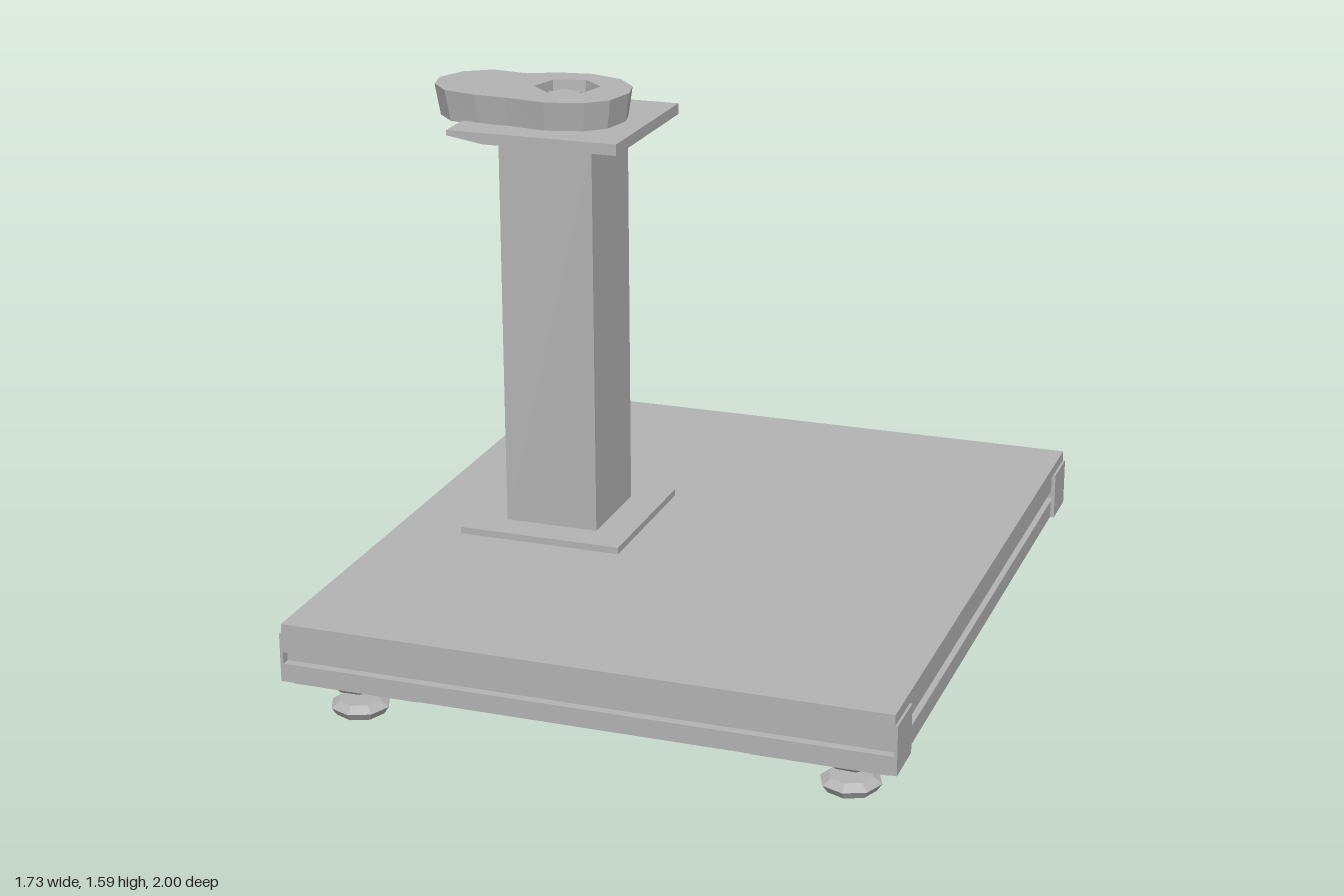
import * as THREE from 'three';

const grey = new THREE.MeshStandardMaterial({ color: 0xb3b3b3 });
grey.name = 'machine grey';

function add(parent, name, geometry, x = 0, y = 0, z = 0) {
  const mesh = new THREE.Mesh(geometry, grey);
  mesh.name = name;
  mesh.position.set(x, y, z);
  parent.add(mesh);
  return mesh;
}

// Box given by its lower and upper limits
function box(parent, name, [x0, x1], [y0, y1], [z0, z1]) {
  return add(parent, name, new THREE.BoxGeometry(x1 - x0, y1 - y0, z1 - z0),
    (x0 + x1) / 2, (y0 + y1) / 2, (z0 + z1) / 2);
}

const shapeOf = pts => new THREE.Shape(pts.map(p => new THREE.Vector2(...p)));

// Outline in plan (x, -z) raised from y0 to y1
function slab(pts, y0, y1, holes = []) {
  const shape = shapeOf(pts);
  shape.holes = holes.map(h => new THREE.Path(h.map(p => new THREE.Vector2(...p))));
  return new THREE.ExtrudeGeometry(shape, { depth: y1 - y0, bevelEnabled: false })
    .rotateX(-Math.PI / 2).translate(0, y0, 0);
}

function ring(n, r, cx, cy, turn = 0) {
  return Array.from({ length: n }, (_, i) => {
    const a = turn + (i / n) * Math.PI * 2;
    return [cx + r * Math.cos(a), cy + r * Math.sin(a)];
  });
}

// Square profile bar with one groove along each face, running along z
function slottedBar(length) {
  const h = 0.07, s = 0.017, d = 0.045;
  const side = [[-h, -h], [-s, -h], [-s, -d], [s, -d], [s, -h]];
  const pts = [];
  for (let k = 0; k < 4; k++) {
    const c = Math.round(Math.cos(k * Math.PI / 2)), n = Math.round(Math.sin(k * Math.PI / 2));
    side.forEach(([x, y]) => pts.push([x * c - y * n, x * n + y * c]));
  }
  return new THREE.ExtrudeGeometry(shapeOf(pts), { depth: length, bevelEnabled: false })
    .translate(0, 0, -length / 2);
}

// Faceted round piece
function faceted(rTop, rBottom, height, sides) {
  const g = new THREE.CylinderGeometry(rTop, rBottom, height, sides).toNonIndexed();
  g.computeVertexNormals();
  return g;
}

export function createModel() {
  const model = new THREE.Group();
  model.name = 'pedestal';

  // Base frame: two cross bars with closed ends, three long bars between them
  const frame = new THREE.Group();
  frame.name = 'baseFrame';
  model.add(frame);
  box(frame, 'deckPlate', [-0.86, 0.86], [0.27, 0.3], [-1, 1]);
  for (const s of [-1, 1]) {
    add(frame, 'crossBar', slottedBar(1.72), 0, 0.2, s * 0.93).rotation.y = Math.PI / 2;
    add(frame, 'sideBar', slottedBar(1.72), s * 0.785, 0.2, 0);
    for (const e of [-1, 1]) {
      box(frame, 'endCap', [e * 0.8625 - 0.0045, e * 0.8625 + 0.0045],
        [0.13, 0.27], [s * 0.93 - 0.07, s * 0.93 + 0.07]);
    }
  }
  add(frame, 'middleBar', slottedBar(1.72), -0.12, 0.2, 0);

  // Corner gussets and levelling feet
  for (const sx of [-1, 1]) {
    for (const sz of [-1, 1]) {
      const corner = new THREE.Group();
      corner.name = 'cornerFoot';
      const gusset = [[0.84, 0.98], [0.47, 0.98], [0.84, 0.6]].map(([x, z]) => [x * sx, -z * sz]);
      add(corner, 'gusset', slab(gusset, 0.118, 0.13));
      const mount = add(corner, 'footMount', faceted(0.11, 0.065, 0.045, 7), sx * 0.71, 0.098, sz * 0.85);
      mount.rotation.y = sx * 0.4;
      add(corner, 'footPadTop', faceted(0.06, 0.085, 0.017, 8), sx * 0.705, 0.031, sz * 0.85);
      add(corner, 'footPad', faceted(0.085, 0.07, 0.022, 8), sx * 0.705, 0.0115, sz * 0.85);
      frame.add(corner);
    }
  }

  // Column with its foot plate and top plate
  box(model, 'columnFootPlate', [-0.66, -0.17], [0.3, 0.32], [-0.245, 0.245]);
  box(model, 'column', [-0.555, -0.275], [0.32, 1.48], [-0.145, 0.145]);
  const topPlate = shapeOf([[-0.665, 1.497], [-0.555, 1.48], [-0.16, 1.48], [-0.16, 1.512], [-0.665, 1.512]]);
  add(model, 'columnTopPlate',
    new THREE.ExtrudeGeometry(topPlate, { depth: 0.51, bevelEnabled: false }), 0, 0, -0.255);

  // Mounting head: round flange with an offset lobe and a stepped socket
  const head = new THREE.Group();
  head.name = 'mountingHead';
  model.add(head);
  const outline = [[-0.215, 0], [-0.235, -0.1], [-0.29, -0.155], [-0.4, -0.185], [-0.52, -0.165],
    [-0.62, -0.16], [-0.72, -0.135], [-0.78, -0.07], [-0.8, 0.01], [-0.765, 0.1], [-0.69, 0.15],
    [-0.58, 0.135], [-0.5, 0.175], [-0.4, 0.19], [-0.3, 0.155], [-0.235, 0.08]].reverse();
  const socket = ring(6, 0.095, -0.41, 0.02, 0.3);
  const body = slab(outline, 1.505, 1.595, [socket]);
  // Draw the lower rim slightly inward
  const p = body.attributes.position;
  for (let i = 0; i < p.count; i++) {
    if (p.getY(i) < 1.55) {
      p.setX(i, -0.48 + (p.getX(i) + 0.48) * 0.95);
      p.setZ(i, p.getZ(i) * 0.93);
    }
  }
  body.computeVertexNormals();
  add(head, 'headBody', body);
  add(head, 'socketFloor', slab(ring(6, 0.1, -0.41, 0.02, 0.3), 1.506, 1.545));
  add(head, 'socketHub', slab(ring(5, 0.05, -0.42, 0.02, 0.6), 1.54, 1.575));

  return model;
}
